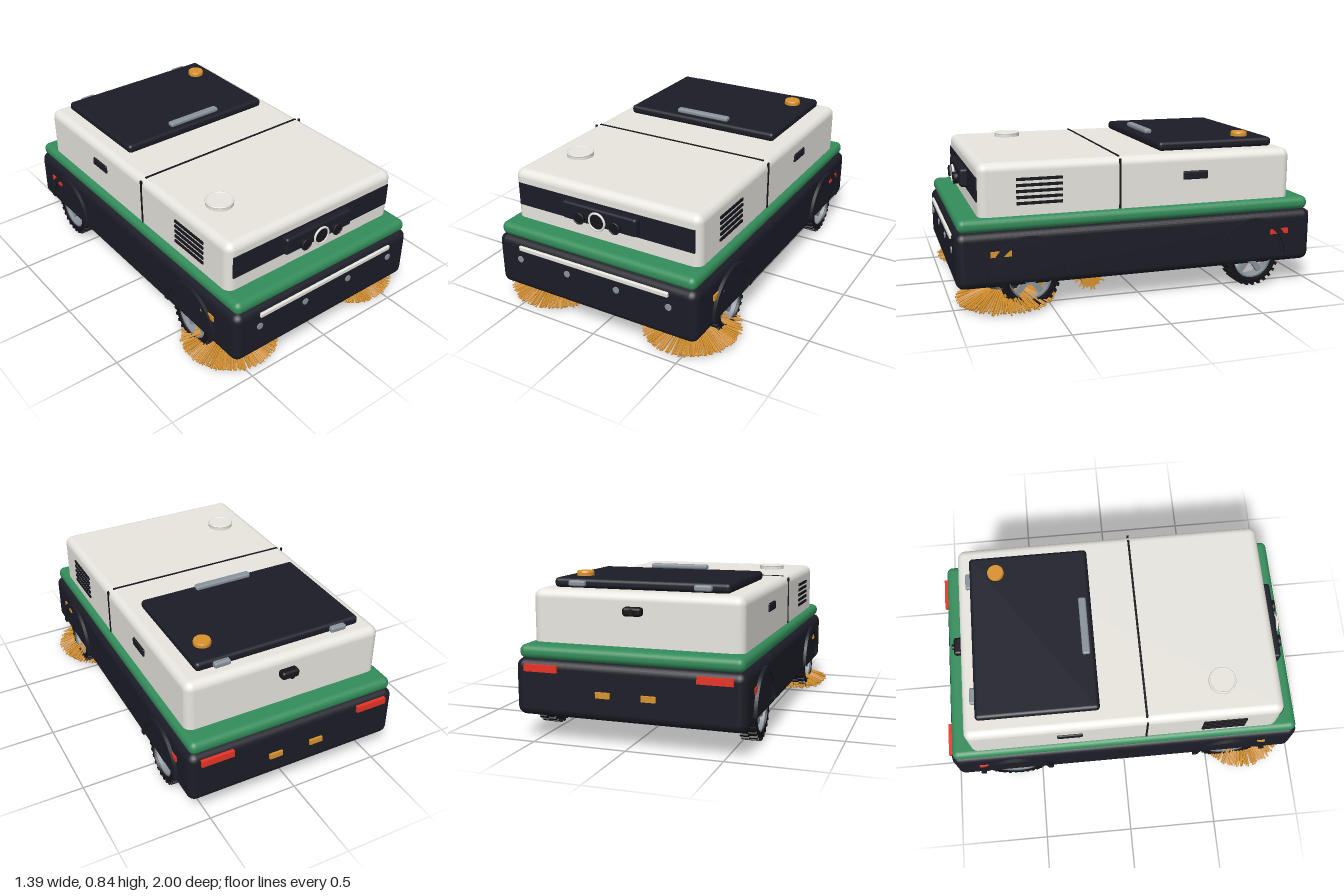
import * as THREE from 'three';
import { mergeGeometries } from 'three/addons/utils/BufferGeometryUtils.js';
import { RoundedBoxGeometry } from 'three/addons/geometries/RoundedBoxGeometry.js';

const mat = (name, color) => {
  const m = new THREE.MeshStandardMaterial({ color });
  m.name = name;
  return m;
};
const cream = mat('cream', 0xe8e6df);
const navy = mat('navy', 0x1c1c27);
const green = mat('green', 0x338c5a);
const amber = mat('amber', 0xd8922d);
const red = mat('red', 0xea3426);
const grey = mat('grey', 0x89929a);
const plateGrey = mat('plateGrey', 0x7a7b80);
const black = mat('black', 0x15151b);

let seed = 7;
const rand = () => (seed = (seed * 16807) % 2147483647) / 2147483647;

export function createModel() {
  const root = new THREE.Group();
  root.name = 'floorSweeper';

  const add = (name, geo, material, x = 0, y = 0, z = 0, parent = root) => {
    const m = new THREE.Mesh(geo, material);
    m.name = name;
    m.position.set(x, y, z);
    parent.add(m);
    return m;
  };
  const box = (name, material, w, h, d, x, y, z, parent) =>
    add(name, new THREE.BoxGeometry(w, h, d), material, x, y, z, parent);
  const round = (name, material, w, h, d, r, x, y, z, parent) =>
    add(name, new RoundedBoxGeometry(w, h, d, 4, r), material, x, y, z, parent);
  const disc = (r, h, seg = 32, rTop = r) => new THREE.CylinderGeometry(rTop, r, h, seg);
  const UP = new THREE.Vector3(0, 1, 0);
  // thin rod between two points, used for bristles
  const rod = (a, b, r) => {
    const dir = b.clone().sub(a);
    const g = new THREE.CylinderGeometry(r, r, dir.length(), 5);
    g.applyQuaternion(new THREE.Quaternion().setFromUnitVectors(UP, dir.normalize()));
    return g.translate((a.x + b.x) / 2, (a.y + b.y) / 2, (a.z + b.z) / 2);
  };

  // main hull
  round('chassis', navy, 1.21, 0.295, 1.975, 0.045, 0, 0.279, 0.002);
  round('greenBand', green, 1.18, 0.072, 1.945, 0.033, 0, 0.457, 0.002);
  round('upperBody', cream, 1.12, 0.32, 1.728, 0.045, 0, 0.606, 0.001);
  box('underPlate', plateGrey, 0.91, 0.02, 1.66, 0, 0.131, 0);

  // body seam
  box('topSeam', black, 1.06, 0.008, 0.012, 0, 0.765, 0.11);
  for (const s of [-1, 1]) box('sideSeam', black, 0.01, 0.265, 0.01, s * 0.56, 0.626, 0.122);
  root.getObjectByName('topSeam').position.z = 0.122;

  // front sensor cluster
  box('frontPanel', navy, 1.06, 0.125, 0.009, 0, 0.632, 0.865);
  round('sensorPod', navy, 0.45, 0.1, 0.05, 0.015, 0, 0.635, 0.883);
  add('mainLens', disc(0.045, 0.03).rotateX(Math.PI / 2), black, 0, 0.623, 0.905);
  add('mainLensRing', new THREE.TorusGeometry(0.046, 0.006, 8, 40), cream, 0, 0.623, 0.919);
  for (const s of [-1, 1]) {
    add('sideLens', disc(0.031, 0.03, 24).rotateX(Math.PI / 2), black, s * 0.107, 0.618, 0.912);
    add('sideLensRing', new THREE.TorusGeometry(0.03, 0.004, 8, 28), navy, s * 0.107, 0.618, 0.926);
  }

  // bumper strip and sonar sensors
  round('bumperStrip', cream, 0.91, 0.027, 0.03, 0.006, 0, 0.382, 0.985);
  for (const x of [-0.455, -0.152, 0.152, 0.455])
    add('sonarSensor', disc(0.018, 0.02, 20).rotateX(Math.PI / 2), grey, x, 0.314, 0.985);

  // rear lamps and camera
  for (const s of [-1, 1]) {
    box('tailLamp', red, 0.18, 0.036, 0.025, s * 0.455, 0.383, -0.9875);
    box('rearIndicator', amber, 0.075, 0.03, 0.02, s * 0.12, 0.27, -0.988);
  }
  round('rearCamera', black, 0.1, 0.045, 0.05, 0.015, 0, 0.675, -0.883);
  add('rearLens', disc(0.015, 0.02, 16).rotateX(Math.PI / 2), black, 0, 0.675, -0.908);

  // top hatch with handle, hinges and beacon
  round('hatch', navy, 0.94, 0.05, 0.665, 0.02, 0, 0.793, -0.457);
  round('hatchHandle', grey, 0.33, 0.026, 0.042, 0.01, 0, 0.833, -0.172);
  for (const s of [-1, 1]) {
    round('hatchHinge', grey, 0.09, 0.03, 0.035, 0.01, s * 0.335, 0.793, -0.797);
  }
  add('beacon', disc(0.046, 0.018), amber, 0.362, 0.826, -0.64);
  add('beaconCap', disc(0.046, 0.008, 32, 0.042), amber, 0.362, 0.839, -0.64);
  add('fillerCap', disc(0.073, 0.022), cream, -0.365, 0.777, 0.545);
  add('fillerCapRim', new THREE.TorusGeometry(0.07, 0.005, 8, 40).rotateX(Math.PI / 2), cream, -0.365, 0.786, 0.545);

  // side details
  for (const s of [-1, 1]) {
    for (let i = 0; i < 5; i++)
      box('ventSlat', black, 0.014, 0.015, 0.24, s * 0.56, 0.556 + i * 0.031, 0.55);
    round('sideLatch', navy, 0.02, 0.046, 0.14, 0.008, s * 0.56, 0.649, -0.3);
    box('sideMarkerFront', amber, 0.016, 0.03, 0.108, s * 0.604, 0.313, 0.762);
    box('sideMarkerRear', red, 0.016, 0.03, 0.108, s * 0.604, 0.313, -0.786);
  }

  // wheel parts, axle along x
  const lathe = pts => new THREE.LatheGeometry(pts.map(p => new THREE.Vector2(...p)), 40).rotateZ(-Math.PI / 2);
  const tyreGeo = lathe([[0.112, -0.045], [0.138, -0.045], [0.148, -0.032], [0.148, 0.032],
    [0.138, 0.045], [0.112, 0.045], [0.112, -0.045]]);
  const rimGeo = lathe([[0.104, -0.035], [0.113, -0.04], [0.113, 0.04], [0.104, 0.035], [0.104, -0.035]]);
  const lugGeos = [], spokeGeos = [];
  for (let i = 0; i < 26; i++)
    for (const s of [-1, 1])
      lugGeos.push(new THREE.BoxGeometry(0.042, 0.016, 0.016).translate(s * 0.023, 0.149, 0)
        .rotateX(((i + s * 0.25) / 26) * Math.PI * 2));
  for (let i = 0; i < 5; i++)
    spokeGeos.push(new THREE.BoxGeometry(0.03, 0.085, 0.03).translate(0, 0.065, 0)
      .rotateX((i / 5) * Math.PI * 2));
  const lugGeo = mergeGeometries(lugGeos), spokeGeo = mergeGeometries(spokeGeos);

  // half-ring fender
  const archBand = (rOut, rIn, depth) => {
    const shape = new THREE.Shape();
    shape.absarc(0, 0, rOut, 0, Math.PI, false);
    shape.absarc(0, 0, rIn, Math.PI, 0, true);
    return new THREE.ExtrudeGeometry(shape, { depth, bevelEnabled: false, curveSegments: 28 })
      .translate(0, 0, -depth / 2).rotateY(Math.PI / 2);
  };
  const archGeo = archBand(0.213, 0.183, 0.038);
  const innerArchGeo = archBand(0.186, 0.168, 0.02);

  for (const [place, z] of [['front', 0.614], ['rear', -0.635]])
    for (const s of [-1, 1]) {
      const wheel = new THREE.Group();
      wheel.name = place + 'Wheel';
      wheel.position.set(s * 0.555, 0.168, z);
      add('tyre', tyreGeo, black, 0, 0, 0, wheel);
      add('tread', lugGeo, black, 0, 0, 0, wheel);
      add('rim', rimGeo, grey, 0, 0, 0, wheel);
      add('spokes', spokeGeo, grey, 0, 0, 0, wheel);
      add('hub', disc(0.035, 0.08, 20).rotateZ(Math.PI / 2), grey, 0, 0, 0, wheel);
      root.add(wheel);
      add(place + 'Fender', archGeo, navy, s * 0.604, 0.182, z);
      add(place + 'FenderLip', innerArchGeo, navy, s * 0.6, 0.182, z);
    }

  // spinning side brushes
  for (const s of [-1, 1]) {
    const brush = new THREE.Group();
    brush.name = 'sideBrush';
    brush.position.set(s * 0.428, 0, 0.717);
    add('brushHub', disc(0.115, 0.035, 32, 0.1), black, 0, 0.095, 0, brush);
    add('brushMotor', disc(0.085, 0.06, 24), black, 0, 0.13, 0, brush);
    const rods = [];
    for (let row = 0; row < 3; row++)
      for (let i = 0; i < 88; i++) {
        const a = ((i + row / 3 + (rand() - 0.5) * 0.4) / 88) * Math.PI * 2;
        const b = a + (rand() - 0.5) * 0.04;
        const r = 0.254 + rand() * 0.016 - row * 0.01;
        const y = 0.036 - row * 0.011 + (rand() - 0.5) * 0.012;
        rods.push(rod(
          new THREE.Vector3(Math.cos(a) * 0.095, 0.1 - row * 0.007, Math.sin(a) * 0.095),
          new THREE.Vector3(Math.cos(b) * r, y, Math.sin(b) * r), 0.0045));
      }
    add('brushBristles', mergeGeometries(rods), amber, 0, 0, 0, brush);
    root.add(brush);
  }

  // central roller brush, its housing and the squeegee
  const roller = new THREE.Group();
  roller.name = 'rollerBrush';
  roller.position.set(0, 0.088, 0.245);
  add('rollerCore', disc(0.054, 0.86, 28).rotateZ(Math.PI / 2), amber, 0, 0, 0, roller);
  const tufts = [];
  for (let row = 0; row < 7; row++)
    for (let i = 0; i < 32; i++) {
      const x = -0.42 + (i / 31) * 0.84 + (rand() - 0.5) * 0.02;
      const a = (row / 7 + i / 32) * Math.PI * 2 + (rand() - 0.5) * 0.3;
      const r = 0.076 + rand() * 0.01;
      tufts.push(rod(new THREE.Vector3(x, Math.cos(a) * 0.05, Math.sin(a) * 0.05),
        new THREE.Vector3(x, Math.cos(a) * r, Math.sin(a) * r), 0.004));
    }
  add('rollerBristles', mergeGeometries(tufts), amber, 0, 0, 0, roller);
  root.add(roller);
  round('rollerHousing', black, 0.92, 0.035, 0.235, 0.012, 0, 0.121, 0.247);
  round('squeegee', black, 0.88, 0.045, 0.088, 0.018, 0, 0.106, 0.08);

  return root;
}
